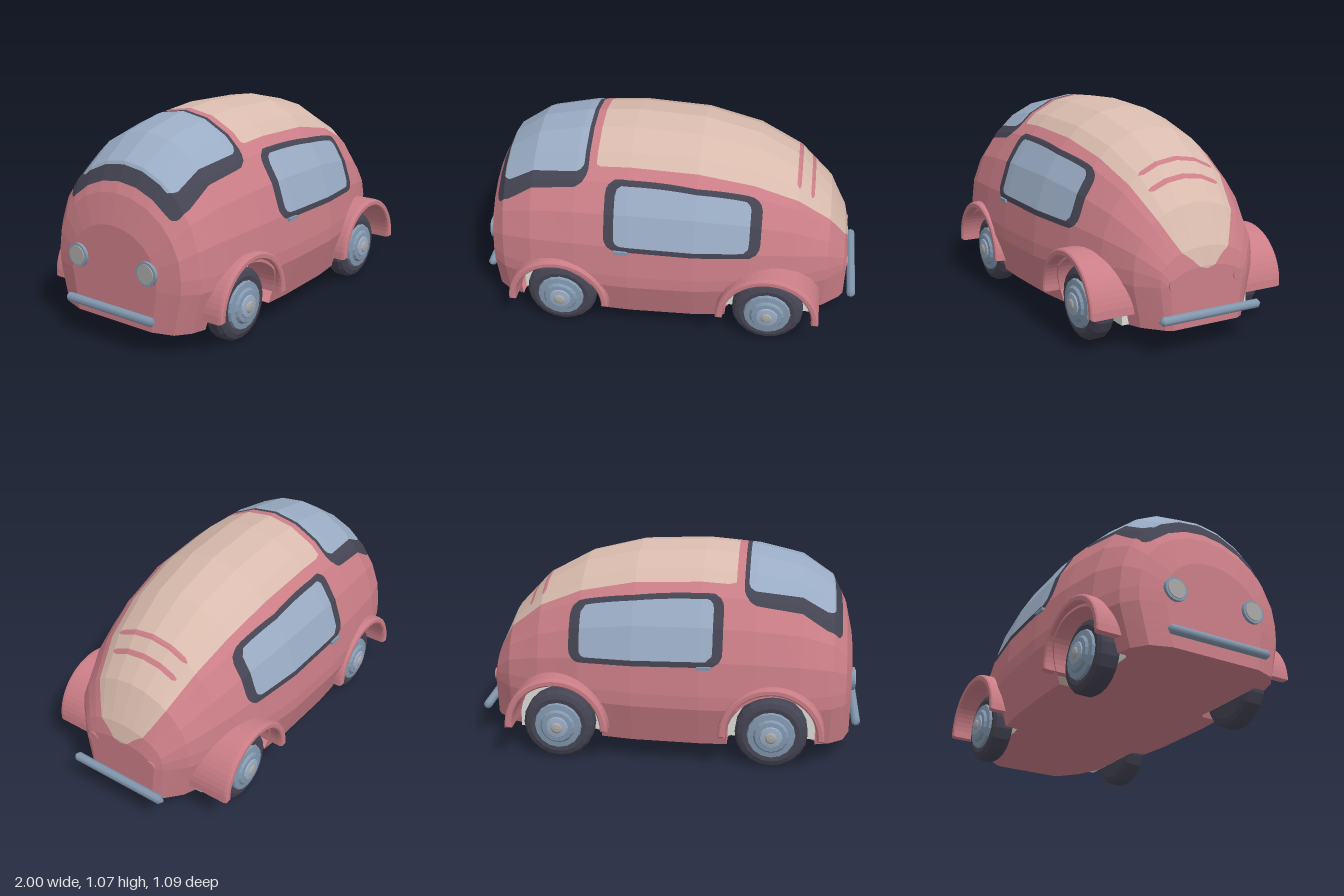
import * as THREE from 'three';

const paint = (name, color) => {
  const m = new THREE.MeshStandardMaterial({ color, side: THREE.DoubleSide });
  m.name = name;
  return m;
};
const pink = paint('pink paint', 0xcb7e87);
const beige = paint('beige paint', 0xd9bbae);
const glass = paint('blue glass', 0x9aacc4);
const dark = paint('dark rubber', 0x454453);
const white = paint('white liner', 0xdcdcd8);
const metal = paint('blue metal', 0x8398af);
const lens = paint('pale lens', 0xaaa9a8);

const AXLE = 0.545, HUB_Y = 0.185, FLOOR = 0.12;

// Body stations: x, half width, roof height, centre height of the upper arc
const stations = [
  [-0.945, 0.27, 0.6, 0.38], [-0.91, 0.39, 0.75, 0.4], [-0.84, 0.45, 0.89, 0.4],
  [-0.68, 0.5, 1.0, 0.4], [-0.45, 0.525, 1.053, 0.4], [-0.18, 0.535, 1.075, 0.4],
  [0.16, 0.522, 1.06, 0.4], [0.44, 0.478, 0.99, 0.4], [0.66, 0.415, 0.87, 0.4],
  [0.83, 0.335, 0.69, 0.4], [0.92, 0.245, 0.5, 0.37], [0.94, 0.205, 0.41, 0.33],
];

// One closed section, subdivided so painted edges stay crisp
function section([x, w, top, yc]) {
  const base = [[0.88 * w, FLOOR], [w, 0.33]];
  for (let i = 0; i <= 12; i++) {
    const a = (i / 12) * Math.PI;
    base.push([w * Math.cos(a), yc + (top - yc) * Math.sin(a)]);
  }
  base.push([-w, 0.33], [-0.88 * w, FLOOR]);
  const loop = [];
  base.forEach((p, i) => {
    const q = base[(i + 1) % base.length], n = i === base.length - 1 ? 20 : 5;
    for (let k = 0; k < n; k++) {
      const t = k / n;
      loop.push(new THREE.Vector3(x, p[1] + (q[1] - p[1]) * t, p[0] + (q[0] - p[0]) * t));
    }
  });
  return loop;
}

function bodyTriangles() {
  const rings = [];
  const rows = stations.map(section);
  for (let i = 0; i < rows.length - 1; i++) {
    const n = Math.ceil((stations[i + 1][0] - stations[i][0]) / 0.035);
    for (let k = 0; k < n; k++) rings.push(rows[i].map((p, j) => p.clone().lerp(rows[i + 1][j], k / n)));
  }
  rings.push(rows.at(-1));
  const tris = [], count = rings[0].length;
  for (let i = 0; i < rings.length - 1; i++) for (let j = 0; j < count; j++) {
    const k = (j + 1) % count;
    const [a, b, c, d] = [rings[i][j], rings[i + 1][j], rings[i + 1][k], rings[i][k]];
    tris.push([a, b, c], [a, c, d]);
  }
  // Nose and tail caps
  const nose = rings[0], tail = rings.at(-1);
  const noseMid = new THREE.Vector3(nose[0].x, 0.3, 0), tailMid = new THREE.Vector3(tail[0].x, 0.25, 0);
  for (let j = 0; j < count; j++) {
    const k = (j + 1) % count;
    tris.push([noseMid, nose[j], nose[k]], [tailMid, tail[k], tail[j]]);
  }
  return tris;
}

// Splits polygons along the zero line of a field: [inside, outside]
function split(polys, field) {
  const inside = [], outside = [];
  for (const poly of polys) {
    const f = poly.map(field), a = [], b = [];
    poly.forEach((p, i) => {
      const k = (i + 1) % poly.length;
      (f[i] > 0 ? a : b).push(p);
      if (f[i] > 0 !== f[k] > 0) {
        const m = p.clone().lerp(poly[k], f[i] / (f[i] - f[k]));
        a.push(m);
        b.push(m);
      }
    });
    if (a.length > 2) inside.push(a);
    if (b.length > 2) outside.push(b);
  }
  return [inside, outside];
}

function panel(name, polys, material) {
  const points = [], t = new THREE.Triangle();
  for (const p of polys) for (let i = 1; i < p.length - 1; i++) {
    if (t.set(p[0], p[i], p[i + 1]).getArea() > 1e-9) points.push(p[0], p[i], p[i + 1]);
  }
  const g = new THREE.BufferGeometry().setFromPoints(points);
  g.computeVertexNormals();
  return part(name, g, material);
}

function part(name, geometry, material, x = 0, y = 0, z = 0) {
  const m = new THREE.Mesh(geometry, material);
  m.name = name;
  m.position.set(x, y, z);
  return m;
}

// Rounded rectangle field, positive inside
function roundBox(u, v, hu, hv, r) {
  const a = Math.abs(u) - hu + r, b = Math.abs(v) - hv + r;
  return r - Math.min(Math.max(a, b), 0) - Math.hypot(Math.max(a, 0), Math.max(b, 0));
}
const sideWindow = (p, left, right, trimTop, trimBottom, r) => {
  const top = 0.887 - 0.16 * Math.max(0, p.x + 0.2) ** 2 - trimTop;
  const bottom = 0.552 - 0.03 * (p.x + 0.28) + trimBottom;
  return roundBox(p.x - (left + right) / 2, p.y - (top + bottom) / 2, (right - left) / 2, (top - bottom) / 2, r);
};
const windscreen = (p, x0, x1, zNose, zRoof, r) => {
  const hz = THREE.MathUtils.mapLinear(p.x, -0.83, -0.42, zNose, zRoof);
  return Math.min(p.y - 0.6, roundBox(p.x - (x0 + x1) / 2, p.z, (x1 - x0) / 2, hz, r));
};
const wheelWell = (p) => Math.min(Math.abs(p.z) - 0.355,
  0.222 - Math.hypot(Math.abs(p.x) - AXLE, Math.max(0, p.y - HUB_Y)));
// Beige roof panel narrows towards the tail
const edge = [[0.395, 0], [0.41, 0.05], [0.48, 0.13], [0.62, 0.205], [0.94, 0.325], [1.2, 0.325]];
const roofPanel = (p) => {
  const i = Math.max(1, edge.findIndex((e) => e[0] >= p.y));
  const [a, b] = [edge[i - 1], edge[i]];
  return Math.min(p.x + 0.35, THREE.MathUtils.mapLinear(p.y, a[0], b[0], a[1], b[1]) - Math.abs(p.z));
};
const vents = [[0.655, 0.21], [0.735, 0.195], [0.815, 0.175]];
const ventField = (p) => Math.max(...vents.map(([x, hz]) => roundBox(p.x - x, p.z, 0.014, hz, 0.01)));

function buildBody() {
  const body = new THREE.Group();
  body.name = 'body';
  let shell = split(bodyTriangles(), wheelWell)[1];
  let side, screen, roof, sideGlass, screenGlass, ventStrips;
  [side, shell] = split(shell, (p) => sideWindow(p, -0.295, 0.488, 0, 0, 0.065));
  [sideGlass, side] = split(side, (p) => sideWindow(p, -0.245, 0.432, 0.025, 0.028, 0.035));
  [screen, shell] = split(shell, (p) => windscreen(p, -0.885, -0.39, 0.36, 0.39, 0.07));
  [screenGlass, screen] = split(screen, (p) => windscreen(p, -0.848, -0.412, 0.295, 0.34, 0.04));
  [roof, shell] = split(shell, roofPanel);
  [ventStrips, roof] = split(roof, ventField);
  body.add(
    panel('bodyShell', shell, pink), panel('sideWindowFrames', side, dark),
    panel('sideWindowGlass', sideGlass, glass), panel('windscreenFrame', screen, dark),
    panel('windscreenGlass', screenGlass, glass), panel('roofPanel', roof, beige),
    panel('ventStrips', ventStrips, pink));
  return body;
}

// Lathe around the z axis from [radius, z] points, with flat facets
function turned(profile, sides) {
  const g = new THREE.LatheGeometry(profile.map(([r, z]) => new THREE.Vector2(r, z)), sides)
    .rotateX(Math.PI / 2).toNonIndexed();
  g.computeVertexNormals();
  return g;
}

// Wheel, liner and mudguard for one corner, facing +z
function buildCorner() {
  const corner = new THREE.Group();
  const arch = new THREE.Shape();
  arch.absarc(0, HUB_Y, 0.222, 0, Math.PI);
  arch.lineTo(-0.222, FLOOR + 0.002);
  arch.lineTo(0.222, FLOOR + 0.002);
  const liner = new THREE.ExtrudeGeometry(arch, { depth: 0.1, bevelEnabled: false, curveSegments: 16 });
  const ring = new THREE.Shape();
  ring.absarc(0, 0, 0.256, 0, Math.PI);
  ring.absarc(0, 0, 0.237, Math.PI, 0, true);
  const guard = new THREE.ExtrudeGeometry(ring, {
    depth: 0.21, curveSegments: 14, bevelThickness: 0.02, bevelSize: 0.01, bevelSegments: 2,
  });
  corner.add(
    part('wheelLiner', liner, white, 0, 0, 0.26),
    part('mudguard', guard, pink, 0, HUB_Y + 0.01, 0.315),
    part('tyre', turned([[0, 0.36], [0.145, 0.36], [0.17, 0.37], [0.184, 0.39], [0.184, 0.445],
      [0.17, 0.465], [0.145, 0.475], [0.11, 0.47]], 20), dark, 0, HUB_Y),
    part('rim', turned([[0.125, 0.465], [0.118, 0.485], [0.09, 0.488], [0.08, 0.5], [0.058, 0.502], [0, 0.5]], 16),
      metal, 0, HUB_Y),
    part('hubCap', turned([[0.06, 0.498], [0.054, 0.508], [0.034, 0.511], [0, 0.511]], 16), glass, 0, HUB_Y),
    part('hubCentre', turned([[0.034, 0.509], [0.022, 0.517], [0, 0.52]], 12), lens, 0, HUB_Y));
  return corner;
}

export function createModel() {
  const car = new THREE.Group();
  car.name = 'car';
  car.add(buildBody());

  const disc = (r, length, sides) => new THREE.CylinderGeometry(r, r, length, sides).rotateZ(Math.PI / 2);
  for (const s of [-1, 1]) {
    const sideName = s > 0 ? 'left' : 'right';
    for (const x of [-AXLE, AXLE]) {
      const corner = buildCorner();
      corner.name = `${sideName}${x < 0 ? 'Nose' : 'Tail'}Wheel`;
      corner.position.x = x;
      if (s < 0) corner.rotation.y = Math.PI;
      car.add(corner);
    }
    // Lamps and door handles
    car.add(
      part(`${sideName}HeadlampRim`, disc(0.06, 0.05, 16), metal, -0.935, 0.41, s * 0.22),
      part(`${sideName}HeadlampLens`, disc(0.048, 0.01, 16), lens, -0.96, 0.41, s * 0.22),
      part(`${sideName}TailLamp`, disc(0.032, 0.04, 10), pink, 0.925, 0.34, s * 0.18),
      part(`${sideName}DoorHandle`, new THREE.BoxGeometry(0.07, 0.015, 0.025), metal, -0.205, 0.547, s * 0.518));
    // Bumper at each end
    const bar = new THREE.CapsuleGeometry(0.023, 0.53, 1, 8).rotateX(Math.PI / 2);
    car.add(part(s < 0 ? 'noseBumper' : 'tailBumper', bar, metal, s * 0.977, 0.19, 0));
  }
  return car;
}
